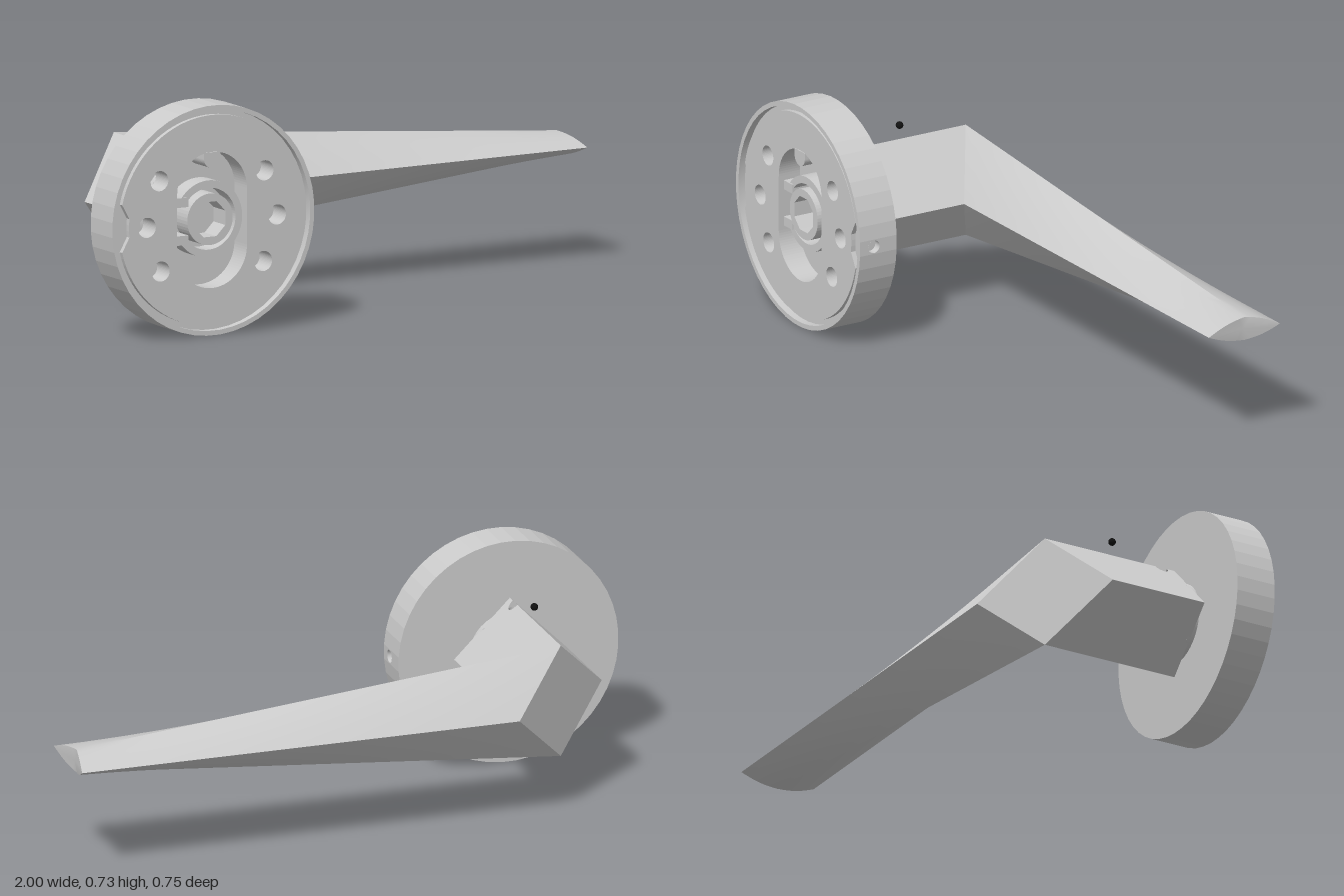
import * as THREE from 'three';
import { toCreasedNormals } from 'three/addons/utils/BufferGeometryUtils.js';

const grey = new THREE.MeshStandardMaterial({ color: 0xcccccc, side: THREE.DoubleSide });
const black = new THREE.MeshStandardMaterial({ color: 0x111111 });

const R = 0.365;                       // rose radius
const H = 0.183, W = 0.185;            // half height and half width of the diamond section
const RIDGE_Z = -0.242, INNER_Z = -0.12, OUTER_Z = -0.105, BACK_Z = -0.378;
const SCREW_Z = 0.18, SCREW_R = 0.021;

function add(group, name, geometry, material = grey) {
  const mesh = new THREE.Mesh(geometry, material);
  mesh.name = name;
  group.add(mesh);
  return mesh;
}

function polygon(points) {
  return new THREE.Shape(points.map(([x, y]) => new THREE.Vector2(x, y)));
}

function circle(x, y, r) {
  return new THREE.Path().absarc(x, y, r, 0, Math.PI * 2, true);
}

// Shape extruded along z from z0 to z1
function slab(shape, z0, z1, segments = 16) {
  return new THREE.ExtrudeGeometry(shape, { depth: z1 - z0, bevelEnabled: false, curveSegments: segments })
    .translate(0, 0, z0);
}

// Lathe with its axis along z; points are [radius, z]
function turned(points, segments = 48) {
  const geometry = new THREE.LatheGeometry(points.map(([r, z]) => new THREE.Vector2(r, z)), segments);
  return toCreasedNormals(geometry.rotateX(Math.PI / 2), 0.3);
}

function flatFace(corners) {
  const geometry = new THREE.BufferGeometry();
  geometry.setAttribute('position', new THREE.Float32BufferAttribute(corners.flat(), 3));
  geometry.setIndex([0, 1, 2, 0, 2, 3]);
  geometry.computeVertexNormals();
  return geometry;
}

// One sloping side of the shank, with half of the screw hole cut from its ridge
function shankFace(side, withHole) {
  const shape = new THREE.Shape();
  shape.moveTo(0, -0.228);
  shape.lineTo(side * W, -0.228);
  shape.lineTo(side * W, side > 0 ? -INNER_Z : -OUTER_Z);
  shape.lineTo(0, -RIDGE_Z);
  if (withHole) {
    shape.absarc(0, -SCREW_Z, SCREW_R, Math.PI / 2, -Math.PI / 2, side > 0);
  }
  const geometry = new THREE.ShapeGeometry(shape, 16).rotateX(-Math.PI / 2);
  const p = geometry.attributes.position;
  for (let i = 0; i < p.count; i++) p.setY(i, H * (1 - Math.abs(p.getX(i)) / W));
  geometry.computeVertexNormals();
  return geometry;
}

// Tapering diamond lever, mitred at the shank and lens shaped at the tip
function leverGeometry() {
  const steps = 24, n = 6, ring = n * 4;
  const start = [[W, 0, BACK_Z], [0, H, RIDGE_Z], [W, 0, INNER_Z], [0, -H, RIDGE_Z]];
  const end = [[1.635, 0.003, -0.374], [1.612, 0.04, -0.258], [1.635, 0.006, -0.112], [1.612, -0.036, -0.258]];
  const points = [], index = [];
  for (let i = 0; i <= steps; i++) {
    const u = i / steps;
    const corners = start.map((s, k) => new THREE.Vector3(...s).lerp(new THREE.Vector3(...end[k]), u));
    for (let j = 0; j < ring; j++) {
      const q = Math.floor(j / n), f = (j % n) / n;
      const v = corners[q].clone().lerp(corners[(q + 1) % 4], f);
      v.y += (q < 2 ? 1 : -1) * 0.007 * u * Math.sin(Math.PI * f);
      points.push(v);
      if (i < steps) {
        const a = i * ring + j, b = i * ring + (j + 1) % ring;
        index.push(a, b, a + ring, b, b + ring, a + ring);
      }
    }
  }
  // Shallow end face
  const centre = points.push(new THREE.Vector3(1.615, 0.003, -0.25)) - 1;
  for (let j = 0; j < ring; j++) index.push(centre, steps * ring + j, steps * ring + (j + 1) % ring);
  const geometry = new THREE.BufferGeometry().setFromPoints(points);
  geometry.setIndex(index);
  return toCreasedNormals(geometry, 0.4);
}

function buildHandle() {
  const handle = new THREE.Group();
  handle.name = 'handle';
  for (const side of [-1, 1]) {
    add(handle, 'shankUpperFace', shankFace(side, true));
    add(handle, 'shankLowerFace', shankFace(side, false)).scale.y = -1;
  }
  add(handle, 'shankEnd', flatFace([[W, 0, 0.228], [0, H, 0.228], [-W, 0, 0.228], [0, -H, 0.228]]));
  add(handle, 'mitreFace', flatFace([[-W, 0, OUTER_Z], [0, H, RIDGE_Z], [W, 0, BACK_Z], [0, -H, RIDGE_Z]]));
  add(handle, 'lever', leverGeometry());
  // Set screw hole in the shank ridge
  add(handle, 'screwHoleWall', new THREE.CylinderGeometry(SCREW_R, SCREW_R, 0.06, 24, 1, true)
    .translate(0, H - SCREW_R - 0.03, SCREW_Z));
  add(handle, 'screwHoleFloor', new THREE.CircleGeometry(SCREW_R, 24).rotateX(-Math.PI / 2)
    .translate(0, H - SCREW_R - 0.06, SCREW_Z));
  add(handle, 'neck', new THREE.CylinderGeometry(0.131, 0.131, 0.03, 40).rotateX(Math.PI / 2)
    .translate(0, 0, 0.233));
  return handle;
}

function buildRose() {
  const rose = new THREE.Group();
  rose.name = 'rose';
  const segments = 48, facet = Math.PI * 2 / segments;
  const z0 = 0.241, z1 = 0.376, mid = (z0 + z1) / 2;

  // Faceted outer wall, leaving one facet free for the screw hole
  const wall = new THREE.CylinderGeometry(R, R, z1 - z0, segments - 1, 1, true,
    Math.PI / 2 + facet / 2, Math.PI * 2 - facet);
  wall.rotateX(Math.PI / 2).translate(0, 0, mid);
  add(rose, 'roseWall', toCreasedNormals(wall, 0.05));

  // Facet with the side screw hole
  const half = R * Math.sin(facet / 2), apothem = R * Math.cos(facet / 2);
  const patch = polygon([[-half, -z1], [half, -z1], [half, -z0], [-half, -z0]].map(([y, z]) => [-z, y]));
  patch.holes.push(circle(0.325, 0, 0.021));
  add(rose, 'screwFacet', new THREE.ShapeGeometry(patch, 20).rotateY(-Math.PI / 2).translate(apothem, 0, 0));
  add(rose, 'sideScrewHole', new THREE.CylinderGeometry(0.021, 0.021, 0.025, 20, 1, true)
    .rotateZ(Math.PI / 2).translate(apothem - 0.0125, 0, 0.325));
  add(rose, 'sideScrew', new THREE.CircleGeometry(0.021, 20).rotateY(Math.PI / 2)
    .translate(apothem - 0.025, 0, 0.325));

  // Back, rim and groove floor
  const turn = (name, points) => add(rose, name, turned(points)).rotation.z = facet / 2;
  turn('roseBack', [[0, z0], [R, z0]]);
  turn('rim', [[R, z1], [0.35, z1], [0.35, 0.352], [0.27, 0.352]]);

  // Mounting plate with clip notches, screw holes and central slot
  const outline = [];
  for (let i = 0; i < 96; i++) {
    const a = (i + 0.5) / 96 * Math.PI * 2;
    const y = Math.abs(Math.sin(a)), r = y < 0.2 ? (y < 0.13 ? 0.3 : 0.315) : 0.333;
    outline.push([r * Math.cos(a), r * Math.sin(a)]);
  }
  const plate = polygon(outline);
  for (const side of [-1, 1]) {
    for (const [x, y] of [[0.235, -0.004], [0.19, 0.14], [0.185, -0.147]]) {
      plate.holes.push(circle(side * x, y, 0.032));
    }
  }
  const slot = new THREE.Path();
  slot.absarc(0, 0.09, 0.126, 0, Math.PI, false);
  slot.absarc(0, -0.09, 0.126, Math.PI, Math.PI * 2, false);
  slot.closePath();
  plate.holes.push(slot);
  add(rose, 'mountingPlate', slab(plate, 0.29, 0.368, 24));

  // Socket inside the slot
  const ring = new THREE.Shape();
  ring.absarc(0, 0, 0.122, -2.6, 2.6, false);
  ring.absarc(0, 0, 0.098, 2.6, -2.6, true);
  add(rose, 'retainingRing', slab(ring, 0.27, 0.345, 32));
  const hub = new THREE.Shape().absarc(0, 0, 0.082, 0, Math.PI * 2, false);
  const bore = [];
  for (let i = 0; i < 8; i++) {
    const a = (i + 0.5) * Math.PI / 4;
    bore.push(new THREE.Vector2(0.06 * Math.cos(a), 0.06 * Math.sin(a)));
  }
  hub.holes.push(new THREE.Path(bore));
  add(rose, 'spindleHub', slab(hub, z0 + 0.002, 0.355, 24));
  add(rose, 'socketFloor', new THREE.CylinderGeometry(0.2, 0.2, 0.02, 40).rotateX(Math.PI / 2)
    .translate(0, 0, 0.28).scale(1, 1, 0.97));

  // Ring ears and the small tab at the top of the slot
  for (const side of [-1, 1]) {
    add(rose, 'ringEar', new THREE.BoxGeometry(0.05, 0.03, 0.07).translate(-0.1, side * 0.06, 0.315));
  }
  const tab = new THREE.Shape();
  tab.moveTo(-0.03, 0.215);
  tab.lineTo(-0.03, 0.195);
  tab.absarc(0, 0.195, 0.03, Math.PI, Math.PI * 2, false);
  tab.lineTo(0.03, 0.215);
  add(rose, 'slotTab', slab(tab, 0.28, 0.37));
  return rose;
}

export function createModel() {
  const model = new THREE.Group();
  model.name = 'doorHandle';
  model.add(buildHandle(), buildRose());
  // Loose grub screw ball above the shank
  add(model, 'smallBall', new THREE.SphereGeometry(0.012, 20, 14).translate(0, 0.229, 0.002), black);
  model.position.set(-0.635, 0.366, 0);
  const root = new THREE.Group();
  root.name = 'leverHandle';
  root.add(model);
  return root;
}
